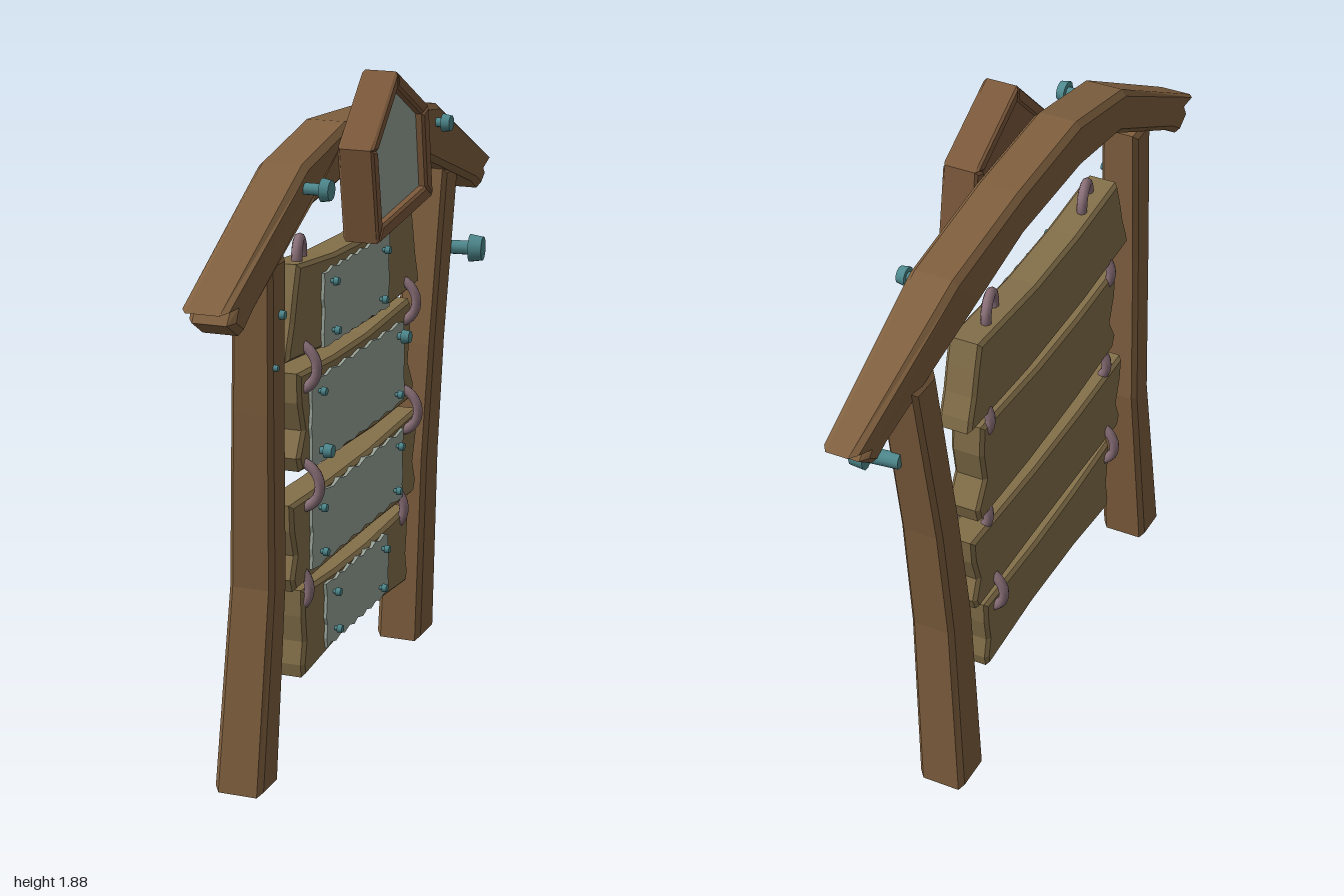
import * as THREE from 'three';

const mat = (color, flatShading = true) => {
  const m = new THREE.MeshStandardMaterial({ flatShading });
  m.color.set(color);
  return m;
};
const WOOD = mat(0x80603f), PLANK = mat(0x84704a), FRAME = mat(0x7c593b), PLATE = mat(0x98a297);
const TEAL = mat(0x4f8a8f, false), RING = mat(0x8a7078, false), ROPE = mat(0x6c6256, false);

// Everything is laid out in a local frame: x across, y up, z toward the face;
// the whole group is turned at the end so that the face looks along +x.
export function createModel() {
  const root = new THREE.Group();
  root.name = 'hangingSignboard';
  root.rotation.y = Math.PI / 2;

  const add = (name, geo, material, parent = root) => {
    const mesh = new THREE.Mesh(geo, material);
    mesh.name = name;
    parent.add(mesh);
    return mesh;
  };

  // Chamfered slab from an outline between two depths, with an optional rule for z
  const slab = (name, pts, z0, z1, bevel, material, rule) => {
    const shape = new THREE.Shape(pts.map(([x, y]) => new THREE.Vector2(x, y)));
    const geo = new THREE.ExtrudeGeometry(shape, {
      depth: z1 - z0 - 2 * bevel, bevelEnabled: bevel > 0, bevelSegments: 1,
      bevelSize: bevel, bevelThickness: bevel, bevelOffset: -bevel,
    });
    geo.translate(0, 0, z0 + bevel);
    if (rule) {
      const p = geo.attributes.position;
      for (let i = 0; i < p.count; i++) p.setZ(i, rule(p.getX(i), p.getY(i), p.getZ(i)));
      geo.computeVertexNormals();
    }
    return add(name, geo, material);
  };

  // Arched top beam with splintered ends, its back thinning to one side
  slab('topBeam', [
    [-1, 1.41], [-0.94, 1.405], [-0.96, 1.375], [-0.895, 1.335], [-0.83, 1.38],
    [-0.46, 1.575], [-0.2, 1.61], [0.15, 1.6], [0.41, 1.545], [0.85, 1.39],
    [0.9, 1.36], [0.955, 1.4], [0.94, 1.415], [1, 1.44],
    [0.52, 1.685], [0.15, 1.735], [-0.2, 1.755], [-0.5, 1.695],
  ], -0.1, 0.04, 0.016, WOOD, (x, y, z) => {
    if (z < -0.04 && x > 0.5) return z + (x - 0.5) * 0.09;
    return x < -0.5 && z > 0 ? z - (-0.5 - x) * 0.03 : z;
  });

  // Crooked posts from [centre x, y, width], leaning backward toward the foot
  const post = (name, stations) => slab(name, [
    ...stations.map(([x, y, w]) => [x + w / 2, y]),
    ...stations.map(([x, y, w]) => [x - w / 2, y]).reverse(),
  ], -0.07, 0.07, 0.014, WOOD, (x, y, z) => z * (1 - 0.14 * y) - 0.08 + 0.033 * y);
  post('leftPost', [[-0.67, 0.01, 0.12], [-0.618, 0.58, 0.1], [-0.643, 1.07, 0.1], [-0.657, 1.48, 0.105]]);
  post('rightPost', [[0.568, 0.015, 0.135], [0.572, 0.6, 0.125], [0.604, 0.95, 0.115], [0.678, 1.47, 0.118]]);

  // Plank outline: corners, sagging long edges and ragged ends
  const plankOutline = ([tl, tr, br, bl], topSag, bottomSag, rag) => {
    const edge = (a, b, ts, dx, dy) => ts.map((t) => [
      a[0] + (b[0] - a[0]) * t + dx(t), a[1] + (b[1] - a[1]) * t + dy(t)]);
    const zero = () => 0;
    const sag = (d) => (t) => -d * Math.sin(t * Math.PI);
    const tear = (s) => (t) => (t > 0.8 ? 0.7 : t > 0.5 ? -1 : 0) * s * rag;
    return [
      ...edge(bl, br, [0, 0.3, 0.65], zero, sag(bottomSag)),
      br, ...edge(tr, br, [0.3, 0.6, 0.85], tear(1), zero).reverse(),
      ...edge(tr, tl, [0, 0.4, 0.7], zero, sag(topSag)),
      tl, ...edge(tl, bl, [0.3, 0.6, 0.85], tear(-1), zero),
    ];
  };

  // Rectangle with gently uneven edges
  const roughRect = ([x0, x1, y0, y1], seed) => {
    const corners = [[x0, y0], [x1, y0], [x1, y1], [x0, y1]];
    return corners.flatMap(([ax, ay], c) => {
      const [bx, by] = corners[(c + 1) % 4], n = c % 2 ? 6 : 14;
      return Array.from({ length: n }, (_, i) => {
        const k = seed * 7 + c * 5 + i, t = i / n;
        return [ax + (bx - ax) * t + 0.005 * Math.sin(k * 2.3), ay + (by - ay) * t + 0.005 * Math.sin(k * 3.1)];
      });
    });
  };

  // Nail or bolt pointing forward: slim shaft with a wider head
  const bolt = (name, x, y, z0, z1, r, headLength) => {
    const g = new THREE.Group(), len = z1 - z0;
    g.name = name;
    g.position.set(x, y, z0);
    g.rotation.x = Math.PI / 2;
    add('shaft', new THREE.CylinderGeometry(r * 0.5, r * 0.5, len, 10).translate(0, len / 2, 0), TEAL, g);
    add('head', new THREE.CylinderGeometry(r * 0.85, r, headLength, 12).translate(0, len - headLength / 2, 0), TEAL, g);
    root.add(g);
    return g;
  };

  // Plank with its metal plate (x0, x1, y0, y1) and a nail near each plate corner
  const board = (i, corners, topSag, bottomSag, rag, plate, bigNails = []) => {
    slab(`plank${i}`, plankOutline(corners, topSag, bottomSag, rag), -0.1, -0.002, 0.01, PLANK);
    slab(`metalPlate${i}`, roughRect(plate, i), -0.01, 0.007, 0, PLATE);
    const [x0, x1, y0, y1] = plate;
    [[x0 + 0.05, y1 - 0.034], [x1 - 0.05, y1 - 0.034], [x0 + 0.06, y0 + 0.036], [x1 - 0.07, y0 + 0.036]]
      .forEach(([x, y], n) => {
        const r = bigNails.includes(n) ? 0.021 : 0.0125;
        bolt('plateNail', x, y, -0.01, 0.01 + r * 1.6, r, r * 1.1);
      });
  };
  board(1, [[-0.456, 1.417], [0.4, 1.41], [0.466, 1.16], [-0.54, 1.17]], 0.027, 0.027, 0.003,
    [-0.305, 0.188, 1.155, 1.364]);
  board(2, [[-0.46, 1.12], [0.39, 1.128], [0.41, 0.82], [-0.45, 0.845]], 0.02, 0.016, 0.024,
    [-0.397, 0.316, 0.84, 1.08], [1, 2]);
  board(3, [[-0.52, 0.77], [0.456, 0.775], [0.43, 0.52], [-0.5, 0.52]], 0.015, -0.006, 0.018,
    [-0.397, 0.306, 0.55, 0.75]);
  board(4, [[-0.44, 0.503], [0.38, 0.492], [0.37, 0.257], [-0.44, 0.25]], 0.017, -0.025, 0.009,
    [-0.295, 0.188, 0.289, 0.472]);

  // Fasteners on the posts and beam
  bolt('postNail', -0.643, 1.33, -0.02, 0.035, 0.013, 0.015);
  bolt('postNail', -0.68, 1.197, -0.02, 0.03, 0.009, 0.012);
  bolt('largeBolt', 0.705, 1.215, -0.02, 0.11, 0.043, 0.04).rotation.z = -0.12;
  bolt('ropeBolt', -0.51, 1.635, 0.02, 0.11, 0.032, 0.025);
  bolt('ropeBolt', 0.49, 1.635, 0.02, 0.085, 0.027, 0.025);

  // Chain rings joining the planks
  [[1.13, -0.035, 0.35], [0.8, -0.028, 0.35], [0.505, -0.06, 0.322]].forEach(([y, z, rightX]) => {
    [-0.42, rightX].forEach((x) => {
      const ring = add('chainRing', new THREE.TorusGeometry(0.066, 0.015, 8, 24), RING);
      ring.position.set(x, y, z);
      ring.rotation.y = Math.PI / 2;
    });
  });

  // Hanging rings on the top plank, and rope loops over the beam
  [[-0.343, -0.53, -0.51], [0.25, 0.53, 0.49]].forEach(([ringX, topX, boltX]) => {
    const ring = add('hangingRing', new THREE.TorusGeometry(0.048, 0.015, 8, 24), RING);
    ring.position.set(ringX, 1.412, -0.05);
    ring.rotation.y = 0.25;
    const end = ringX + Math.sign(topX) * 0.025;
    const path = new THREE.CatmullRomCurve3([
      [boltX, 1.63, 0.055], [topX, 1.695, 0.047], [topX, 1.705, -0.03], [topX, 1.69, -0.105],
      [boltX, 1.58, -0.11], [end, 1.45, -0.065], [end, 1.435, -0.045], [end, 1.46, -0.01],
      [(boltX + end) / 2, 1.54, 0.045],
    ].map((p) => new THREE.Vector3(...p)), true, 'catmullRom', 0.3);
    add('hangingRope', new THREE.TubeGeometry(path, 72, 0.009, 6, true), ROPE);
  });

  // Five-sided crest: mitred frame bars around a recessed panel
  const outer = [[-0.107, 1.882], [-0.295, 1.7], [-0.25, 1.44], [0.177, 1.49], [0.14, 1.75]];
  const inset = (s) => outer.map(([x, y]) => [-0.083 + (x + 0.083) * s, 1.66 + (y - 1.66) * s]);
  const inner = inset(0.8);
  outer.forEach((p, i) => {
    const j = (i + 1) % 5;
    slab('crestFrameBar', [p, outer[j], inner[j], inner[i]], 0.04, 0.142, 0.007, FRAME);
  });
  slab('crestBacking', inset(0.85), 0.046, 0.09, 0, FRAME);
  slab('crestPanel', inset(0.85), 0.09, 0.118, 0, PLATE);

  const model = new THREE.Group();
  model.name = 'signboard';
  model.add(root);
  return model;
}
